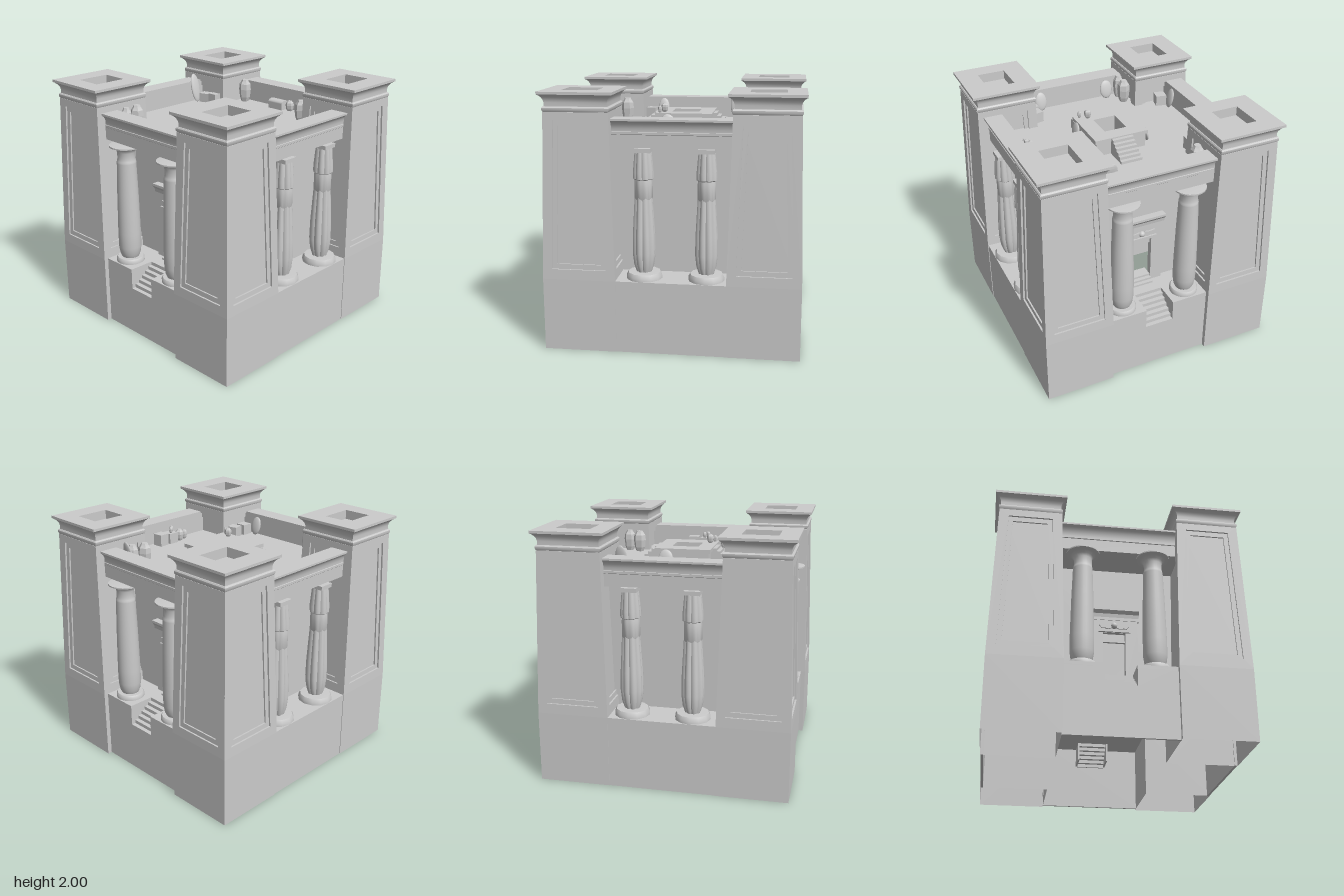
import * as THREE from 'three';
import { toCreasedNormals } from 'three/addons/utils/BufferGeometryUtils.js';

const mat = new THREE.MeshStandardMaterial({ color: 0xcccccc, side: THREE.DoubleSide });
const FLOOR = 0.57, ROOF = 1.62, DAIS = 1.765, HALL = 0.68;
const v2 = (p) => p.map(([x, y]) => new THREE.Vector2(x, y));

function add(parent, name, geo, x = 0, y = 0, z = 0) {
  const m = new THREE.Mesh(geo, mat);
  m.name = name;
  m.position.set(x, y, z);
  parent.add(m);
  return m;
}
// box given by its limits
function block(parent, name, x0, x1, y0, y1, z0, z1) {
  return add(parent, name, new THREE.BoxGeometry(x1 - x0, y1 - y0, z1 - z0), (x0 + x1) / 2, (y0 + y1) / 2, (z0 + z1) / 2);
}
function extrude(points, depth, hole) {
  const s = new THREE.Shape(v2(points));
  if (hole) s.holes.push(new THREE.Path(v2(hole)));
  return new THREE.ExtrudeGeometry(s, { depth, bevelEnabled: false });
}
const lathe = (p, seg, crease = 0.7) => toCreasedNormals(new THREE.LatheGeometry(v2(p), seg), crease);
// square tower from a profile of half-widths
const squareLathe = (p) => toCreasedNormals(
  new THREE.LatheGeometry(v2(p.map(([r, y]) => [r * Math.SQRT2, y])), 4, Math.PI / 4), 0.5);
const trapezoid = (y0, y1, w0, w1) => [[-w0, y0], [w0, y0], [w1, y1], [-w1, y1]];

function makePylon() {
  const g = new THREE.Group();
  g.name = 'cornerPylon';
  add(g, 'pylonBase', squareLathe([[0.282, 0], [0.282, FLOOR]]));
  add(g, 'pylonCore', squareLathe([[0.252, FLOOR], [0.217, 1.85]]));
  // sunken stepped panel on each side
  const outer = trapezoid(0.08, 1.22, 0.21, 0.172), inner = trapezoid(0.12, 1.18, 0.172, 0.136);
  const frame = extrude(trapezoid(0, 1.28, 0.282, 0.247), 0.018, outer).translate(0, 0, -0.018);
  const step = extrude(trapezoid(0.04, 1.25, 0.24, 0.2), 0.012, inner).translate(0, 0, -0.026);
  for (const geo of [frame, step]) geo.rotateX(-Math.atan(0.035 / 1.28)).translate(0, FLOOR, 0.282);
  for (let k = 0; k < 4; k++) {
    add(g, 'panelFrame', frame).rotation.y = k * Math.PI / 2;
    add(g, 'panelStep', step).rotation.y = k * Math.PI / 2;
  }
  // round moulding and flared cornice
  add(g, 'pylonCornice', squareLathe([[0, 1.85], [0.245, 1.85], [0.252, 1.863], [0.252, 1.88], [0.245, 1.89], [0.238, 1.89],
    [0.238, 1.92], [0.243, 1.94], [0.255, 1.96], [0.272, 1.975], [0.282, 1.98], [0.282, 1.985]]));
  add(g, 'pylonTop', extrude(trapezoid(-0.282, 0.282, 0.282, 0.282), 0.015, trapezoid(-0.135, 0.135, 0.113, 0.113))
    .rotateX(-Math.PI / 2), 0, 1.985, 0);
  for (const s of [-1, 1]) {
    block(g, 'recessWall', s * 0.12 - 0.007, s * 0.12 + 0.007, 1.92, 1.99, -0.14, 0.14);
    block(g, 'recessWall', -0.12, 0.12, 1.92, 1.99, s * 0.142 - 0.007, s * 0.142 + 0.007);
  }
  block(g, 'recessFloor', -0.12, 0.12, 1.91, 1.925, -0.14, 0.14);
  return g;
}

// round column with an open bell capital
function makeBellColumn() {
  const g = new THREE.Group();
  g.name = 'bellColumn';
  add(g, 'columnBase', lathe([[0, 0], [0.115, 0], [0.115, 0.025], [0.105, 0.04], [0, 0.04]], 24));
  add(g, 'columnShaft', lathe([[0.07, 0.04], [0.083, 0.07], [0.092, 0.13], [0.093, 0.25], [0.086, 0.6], [0.078, 0.85],
    [0.078, 0.86], [0.074, 0.87], [0.071, 0.89], [0.071, 0.94], [0.08, 0.965], [0.1, 0.98], [0.132, 0.987], [0.132, 0.998], [0, 1.01]], 24));
  return g;
}

// lobed bundle column with a closed bud capital
function makeBundleColumn() {
  const g = new THREE.Group();
  g.name = 'bundleColumn';
  add(g, 'columnBase', lathe([[0, 0], [0.14, 0], [0.138, 0.025], [0.125, 0.05], [0, 0.055]], 12, 0.9));
  const lobed = (p, depth) => {
    const geo = new THREE.LatheGeometry(v2(p), 48), a = geo.attributes.position;
    for (let i = 0; i < a.count; i++) {
      const x = a.getX(i), z = a.getZ(i);
      const k = 1 - depth + depth * Math.abs(Math.sin(4 * Math.atan2(z, x)));
      a.setXYZ(i, x * k, a.getY(i), z * k);
    }
    return toCreasedNormals(geo, 0.6);
  };
  add(g, 'columnShaft', lobed([[0.06, 0.05], [0.08, 0.11], [0.09, 0.2], [0.087, 0.35], [0.07, 0.64]], 0.15));
  add(g, 'columnNeck', lobed([[0.066, 0.62], [0.07, 0.63], [0.07, 0.75], [0.066, 0.78]], 0.06));
  add(g, 'columnCapital', lobed([[0.066, 0.77], [0.08, 0.78], [0.08, 0.83], [0.066, 0.98], [0, 0.985]], 0.14));
  block(g, 'abacus', -0.062, 0.062, 0.98, 1.012, -0.062, 0.062);
  return g;
}

// doorway facing +z with a cornice, winged disc and steps
function makePortal() {
  const g = new THREE.Group();
  g.name = 'portal';
  const feathers = extrude([[0.02, -0.02], [0.05, -0.03], [0.075, -0.022], [0.1, -0.025], [0.12, 0], [0.115, 0.018], [0.06, 0.012], [0.02, 0.02]], 0.012);
  for (const s of [-1, 1]) {
    const jamb = block(g, 'jamb', 0.09, 0.19, FLOOR, 1.01, 0.56, 0.6);
    jamb.position.x *= s;
    add(g, 'wing', feathers, 0, 1.06, 0.6).scale.x = s;
  }
  block(g, 'lintel', -0.19, 0.19, 1.0, 1.14, 0.56, 0.6);
  block(g, 'lintelLedge', -0.13, 0.13, 1.002, 1.025, 0.56, 0.615);
  add(g, 'sunDisc', new THREE.SphereGeometry(0.026, 16, 12), 0, 1.06, 0.605);
  const profile = [[0.54, 1.11], [0.605, 1.11], [0.605, 1.135], [0.61, 1.165], [0.63, 1.19], [0.63, 1.21], [0.54, 1.21]];
  add(g, 'portalCornice', extrude(profile.map(([z, y]) => [-z, y]), 0.4).rotateY(Math.PI / 2), -0.2);
  for (let i = 0; i < 3; i++) block(g, 'doorStep', -0.09, 0.09, FLOOR, FLOOR + 0.0167 * (i + 1), 0.5, 0.65 - i * 0.03);
  // hall wall behind the portal
  add(g, 'hallWall', extrude([[-HALL, FLOOR], [HALL, FLOOR], [HALL, 1.59], [-HALL, 1.59]], 0.02, trapezoid(0.58, 0.93, 0.09, 0.09)), 0, 0, 0.55);
  return g;
}

// one beam with a hollow cornice, outer side facing +z
function makeBeam(length) {
  const p = [[0.755, 1.58], [0.87, 1.58], [0.87, 1.678], [0.875, 1.682], [0.875, 1.7], [0.87, 1.702], [0.872, 1.725], [0.88, 1.752],
    [0.893, 1.772], [0.91, 1.785], [0.91, 1.8], [0.755, 1.8]];
  const geo = extrude(p.map(([z, y]) => [-z, y]), length).rotateY(Math.PI / 2).translate(-length / 2, 0, 0);
  const m = new THREE.Mesh(toCreasedNormals(geo, 0.5), mat);
  m.name = 'entablature';
  return m;
}

export function createModel() {
  const root = new THREE.Group();
  root.name = 'temple';

  for (const sx of [-1, 1]) for (const sz of [-1, 1]) {
    const p = makePylon();
    p.position.set(sx * 0.708, 0, sz * 0.704);
    root.add(p);
  }

  // raised floor around the hall, with a stair notch front and back
  add(root, 'floor', extrude([[-0.98, -0.95], [-0.12, -0.95], [-0.12, -0.74], [0.12, -0.74], [0.12, -0.95], [0.98, -0.95],
    [0.98, 0.95], [0.12, 0.95], [0.12, 0.74], [-0.12, 0.74], [-0.12, 0.95], [-0.98, 0.95]], 0.03,
  trapezoid(-0.55, 0.55, HALL - 0.02, HALL - 0.02)).rotateX(-Math.PI / 2), 0, FLOOR - 0.03, 0);

  for (const turn of [0, Math.PI]) {
    const side = new THREE.Group();
    side.name = turn ? 'backSide' : 'frontSide';
    side.rotation.y = turn;
    root.add(side);
    add(side, 'baseWall', extrude([[-0.43, 0], [0.43, 0], [0.43, FLOOR], [0.12, FLOOR], [0.12, 0.4], [-0.12, 0.4], [-0.12, FLOOR], [-0.43, FLOOR]], 0.02), 0, 0, 0.93);
    for (let i = 0; i < 6; i++) {
      const y = 0.4 + i * 0.0283, z = 0.95 - i * 0.035;
      block(side, 'stairStep', -0.12, 0.12, y - 0.03, y, z - 0.036, z);
    }
    for (const s of [-1, 1]) {
      block(side, 'stairSide', s * 0.127 - 0.007, s * 0.127 + 0.007, 0.38, FLOOR - 0.002, 0.73, 0.945);
      const c = makeBellColumn();
      c.position.set(s * 0.28, FLOOR, 0.825);
      side.add(c);
    }
    side.add(makePortal(), makeBeam(0.98));
  }
  for (const s of [-1, 1]) {
    block(root, 'sideBaseWall', s * 0.975 - 0.01, s * 0.975 + 0.01, 0, FLOOR, -0.43, 0.43);
    block(root, 'hallSideWall', s * (HALL - 0.01) - 0.01, s * (HALL - 0.01) + 0.01, FLOOR - 0.03, 1.59, -0.57, 0.57);
    const beam = makeBeam(0.98);
    beam.rotation.y = s * Math.PI / 2;
    root.add(beam);
    for (const z of [0.22, -0.26]) {
      const c = makeBundleColumn();
      c.position.set(s * 0.845, FLOOR, z);
      root.add(c);
    }
  }
  block(root, 'roof', -0.8, 0.8, 1.58, ROOF, -0.8, 0.8);

  // roof platform with a lip, a sunken middle and two stairs
  const well = trapezoid(-0.11, 0.11, 0.095, 0.095);
  add(root, 'platform', extrude(trapezoid(-0.215, 0.215, 0.215, 0.215), DAIS - ROOF - 0.03, well).rotateX(-Math.PI / 2), 0, ROOF, 0);
  add(root, 'platformLip', extrude(trapezoid(-0.23, 0.23, 0.228, 0.228), 0.03, well).rotateX(-Math.PI / 2), 0, DAIS - 0.03, 0);
  for (const s of [-1, 1]) for (let i = 0; i < 6; i++) {
    const step = block(root, 'platformStep', -0.09, 0.09, ROOF, ROOF + 0.0225 * (i + 1), 0.21, 0.41 - i * 0.03);
    step.position.z *= s;
  }

  // jars: x, z, radius, height, standing level
  const jar = lathe([[0, 0], [0.6, 0], [0.85, 0.2], [1, 0.55], [0.92, 0.8], [0.6, 0.93], [0.5, 1], [0, 1]], 6, 0.4);
  for (const [x, z, r, h, y = ROOF] of [[-0.41, -0.69, 0.055, 0.2], [0.42, -0.62, 0.05, 0.18], [0.39, -0.52, 0.055, 0.18],
    [-0.41, 0.59, 0.055, 0.2], [-0.41, 0.7, 0.045, 0.2], [0.11, -0.71, 0.037, 0.09], [0.68, 0.12, 0.037, 0.1], [0.695, 0.19, 0.027, 0.08],
    [-0.26, 0, 0.03, 0.08], [-0.275, -0.05, 0.02, 0.06], [0.12, 0.17, 0.029, 0.07, DAIS], [0.18, 0.2, 0.016, 0.055, DAIS],
    [0.675, 0.015, 0.018, 0.05, 1.71], [0.7, 0.045, 0.018, 0.05, 1.71]])
    add(root, 'jar', jar, x, y, z).scale.set(r, h, r);

  // crates: x, z, width, depth, height, turn
  for (const [x, z, w, d, h, a] of [[0.69, -0.085, 0.09, 0.09, 0.1, 0.06], [0.69, 0.025, 0.09, 0.09, 0.09, 0], [0.16, 0.28, 0.09, 0.09, 0.08, 0],
    [-0.52, -0.4, 0.085, 0.06, 0.1, 0], [-0.65, -0.43, 0.1, 0.08, 0.08, 0.25], [-0.68, 0.41, 0.09, 0.09, 0.09, -0.2],
    [0.43, 0.56, 0.1, 0.09, 0.09, 0.2], [0.42, 0.68, 0.09, 0.09, 0.09, 0]])
    add(root, 'crate', new THREE.BoxGeometry(w, h, d), x, ROOF + h / 2, z).rotation.y = a;
  // round-lidded chest
  block(root, 'chest', -0.1, 0.055, ROOF, ROOF + 0.055, -0.755, -0.665);
  add(root, 'chestLid', new THREE.CylinderGeometry(0.045, 0.045, 0.155, 16).rotateZ(Math.PI / 2), -0.0225, ROOF + 0.055, -0.71).scale.y = 0.6;

  // shields leaning on walls: x, z, half width, half height, facing
  const shield = new THREE.SphereGeometry(1, 16, 12);
  for (const [x, z, w, h, a] of [[0.33, -0.73, 0.052, 0.128, 0], [0.315, 0.73, 0.052, 0.08, Math.PI], [-0.3, 0.72, 0.058, 0.08, Math.PI],
    [-0.72, -0.36, 0.05, 0.128, Math.PI / 2], [-0.725, 0.31, 0.05, 0.085, Math.PI / 2],
    [-0.25, -0.13, 0.06, 0.07, -Math.PI / 2], [0.245, 0.13, 0.06, 0.07, Math.PI / 2]]) {
    const m = add(root, 'shield', shield, x, ROOF + h, z);
    m.scale.set(w, h, 0.018);
    m.rotation.set(-0.23, a, 0, 'YXZ');
  }
  return root;
}
